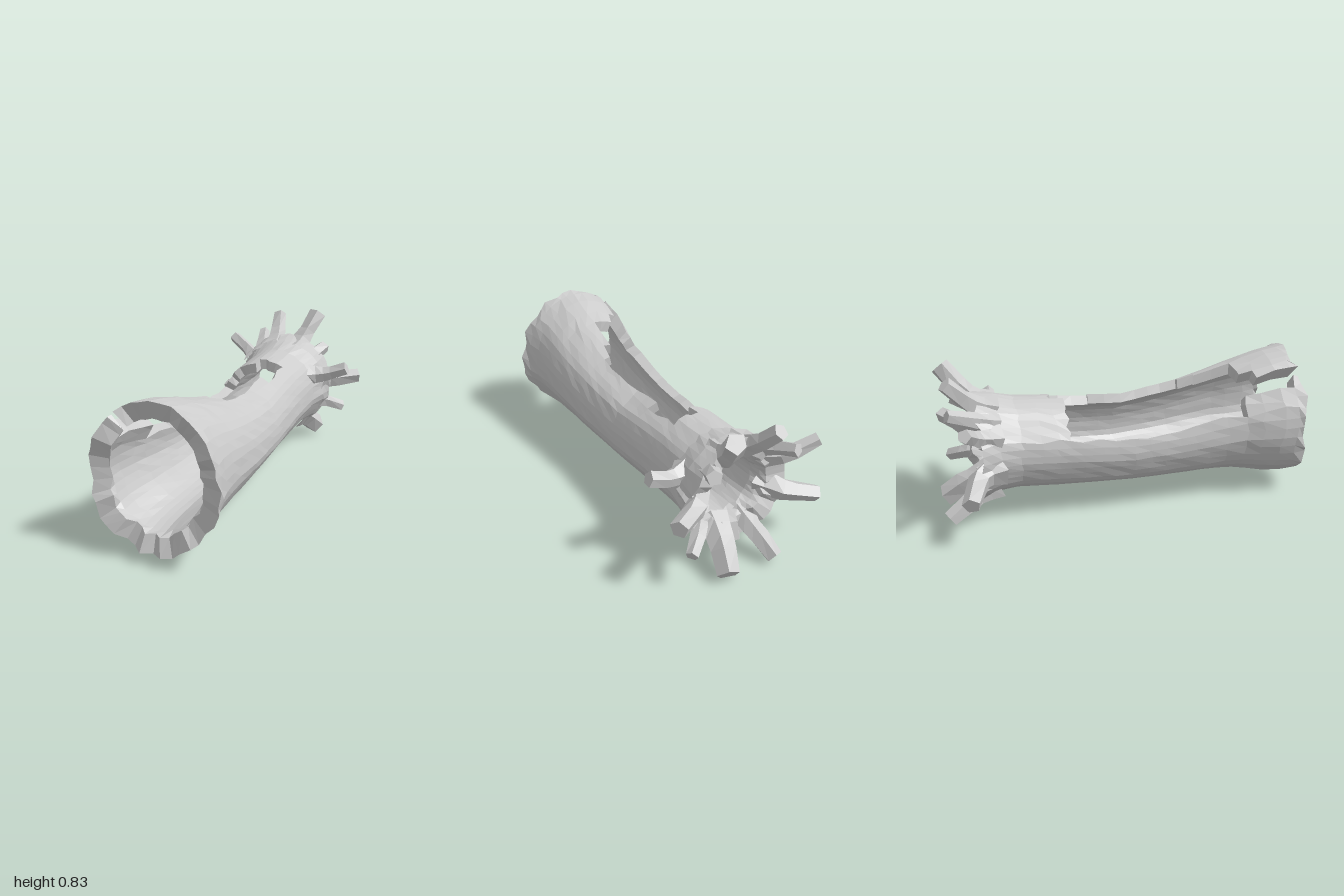
import * as THREE from 'three';

const bark = new THREE.MeshStandardMaterial({ color: 0xcccccc, flatShading: true });

// repeatable noise in -1..1
function noise(i, j = 0, k = 0) {
  const s = Math.sin(i * 127.1 + j * 311.7 + k * 74.7) * 43758.5453;
  return 2 * (s - Math.floor(s)) - 1;
}

// log profile from back to front: z, centre x, centre y, radius x, radius y, wall thickness
const PROFILE = [
  [-0.82, 0.005, 0.395, 0.292, 0.292, 0.105],
  [-0.72, 0.02, 0.40, 0.265, 0.268, 0.10],
  [-0.60, 0.015, 0.39, 0.24, 0.25, 0.078],
  [-0.38, 0.005, 0.375, 0.238, 0.25, 0.057],
  [0.0, -0.005, 0.352, 0.257, 0.239, 0.05],
  [0.3, 0.0, 0.37, 0.27, 0.26, 0.053],
  [0.6, 0.0, 0.41, 0.287, 0.30, 0.062],
  [0.8, -0.025, 0.425, 0.317, 0.35, 0.08],
  [1.0, -0.015, 0.43, 0.345, 0.385, 0.095],
];
function section(z) {
  let n = 0;
  while (n < PROFILE.length - 2 && z > PROFILE[n + 1][0]) n++;
  const a = PROFILE[n], b = PROFILE[n + 1];
  const t = THREE.MathUtils.clamp((z - a[0]) / (b[0] - a[0]), 0, 1);
  return a.map((v, k) => v + (b[k] - v) * t);
}

const COLS = 40;
const ROWS = [-0.82, -0.77, -0.72, -0.6, -0.5, -0.41, -0.35, -0.27, -0.18, -0.09, 0, 0.09, 0.18, 0.26, 0.34,
  0.43, 0.53, 0.635, 0.72, 0.83, 0.91, 0.97];
const LAST = ROWS.length - 1;

// cells left open: the slot in the top and the narrow split running to the front rim
function isOpen(i, j) {
  const deg = (i + 0.5) * 360 / COLS;
  const z = (ROWS[j] + ROWS[j + 1]) / 2;
  if (z > 0.635) return deg > (z < 0.72 ? 117 : 126) && deg < (z < 0.9 ? 144 : 135);
  if (z < -0.41) return false;
  const right = z < -0.18 ? 63 : z < 0.34 ? 72 : z < 0.43 ? 81 : 90;
  return deg > right && deg < (z < -0.35 ? 99 : 162);
}

function shellPoint(i, j, inner) {
  i = (i + COLS) % COLS;
  const rim = j === 0 || j === LAST;
  const slot = i > 6 && i < 19 && j > 3;
  const a = (i + noise(i, j, 1) * (slot ? 0.33 : rim ? 0.2 : 0.05)) * 2 * Math.PI / COLS;
  let z = ROWS[j] + noise(i, j, 2) * (rim ? 0.02 : 0.012);
  if (j === LAST) z += 0.01 * Math.cos(a) - 0.02 * Math.sin(a) - (inner ? 0.03 : 0);
  if (j === 0 && inner) z += 0.02;
  const [, cx, cy, rx, ry, wall] = section(ROWS[j]);
  // long ridges down the trunk, with a ragged front rim
  const bump = noise(i >> 1, 0, 3) * 0.004 + noise(i, j, 4) * (j === LAST ? 0.013 : 0.0015);
  const d = bump - (inner ? wall : 0);
  return [cx + (rx + d) * Math.cos(a), cy + (ry + d) * Math.sin(a), z];
}

// hollow trunk: outer skin, inner skin and broken edges around every opening
function trunkGeometry() {
  const pos = [];
  const quad = (a, b, c, d) => pos.push(...a, ...b, ...c, ...a, ...c, ...d);
  const solid = (i, j) => j >= 0 && j < LAST && !isOpen((i + COLS) % COLS, j);
  for (let j = 0; j < LAST; j++) {
    for (let i = 0; i < COLS; i++) {
      if (!solid(i, j)) continue;
      const corners = [[i, j], [i + 1, j], [i + 1, j + 1], [i, j + 1]];
      const out = corners.map(([u, v]) => shellPoint(u, v, false));
      const inn = corners.map(([u, v]) => shellPoint(u, v, true));
      quad(...out);
      quad(inn[3], inn[2], inn[1], inn[0]);
      const next = [[i, j - 1], [i + 1, j], [i, j + 1], [i - 1, j]];
      next.forEach(([u, v], k) => {
        const m = (k + 1) % 4;
        if (!solid(u, v)) quad(out[m], out[k], inn[k], inn[m]);
      });
    }
  }
  const g = new THREE.BufferGeometry();
  g.setAttribute('position', new THREE.Float32BufferAttribute(pos, 3));
  g.computeVertexNormals();
  return g;
}

// tapered root: a tube whose rings shrink, with the last ring closed into a flat cap
function rootGeometry(points, r0, r1) {
  const SEG = 5, SIDES = 5;
  const curve = new THREE.CatmullRomCurve3(points);
  const g = new THREE.TubeGeometry(curve, SEG, 1, SIDES);
  const p = g.attributes.position, v = new THREE.Vector3();
  const tip = curve.getPointAt(1);
  for (let n = 0; n < p.count; n++) {
    const ring = Math.floor(n / (SIDES + 1)), side = (n % (SIDES + 1)) % SIDES;
    const c = curve.getPointAt(ring / SEG);
    const t = Math.min(ring / (SEG - 1), 1);
    const r = ring === SEG ? 0 : (r0 + (r1 - r0) * Math.sqrt(t)) * (1 + 0.12 * noise(side, ring, points[2].x));
    v.fromBufferAttribute(p, n).sub(c).multiplyScalar(r);
    // the last two rings both sit at the tip
    v.add(ring >= SEG - 1 ? tip : c);
    p.setXYZ(n, v.x, v.y, v.z);
  }
  g.computeVertexNormals();
  return g;
}

// root tips: x, y, z, base radius, tip radius
const ROOTS = [
  [0.155, 0.805, -0.96, 0.085, 0.05],
  [-0.10, 0.78, -0.96, 0.08, 0.043],
  [-0.21, 0.65, -0.97, 0.07, 0.035],
  [-0.40, 0.61, -0.91, 0.075, 0.036],
  [-0.44, 0.26, -0.90, 0.09, 0.046],
  [-0.12, 0.04, -0.98, 0.085, 0.046],
  [0.16, 0.05, -0.97, 0.095, 0.06],
  [0.35, 0.22, -0.92, 0.075, 0.032],
  [0.44, 0.435, -0.94, 0.085, 0.046],
  [0.22, 0.61, -0.90, 0.07, 0.04],
];

export function createModel() {
  const model = new THREE.Group();
  model.name = 'hollowLog';

  const trunk = new THREE.Mesh(trunkGeometry(), bark);
  trunk.name = 'trunk';
  model.add(trunk);

  // splayed roots around the back end
  const roots = new THREE.Group();
  roots.name = 'roots';
  for (const [x, y, z, r0, r1] of ROOTS) {
    const a = Math.atan2(y - 0.395, x);
    const at = (r, zz) => new THREE.Vector3(r * Math.cos(a), 0.395 + r * Math.sin(a), zz);
    const root = new THREE.Mesh(
      rootGeometry([at(0.215, -0.72), at(0.262, -0.82), new THREE.Vector3(x, y, z)], r0, r1), bark);
    root.name = 'root';
    roots.add(root);
  }
  model.add(roots);

  // broken branch on the left side
  const branch = new THREE.Mesh(rootGeometry([
    new THREE.Vector3(0.2, 0.49, -0.64),
    new THREE.Vector3(0.31, 0.505, -0.67),
    new THREE.Vector3(0.435, 0.55, -0.675)], 0.07, 0.038), bark);
  branch.name = 'branchStub';
  model.add(branch);

  return model;
}
